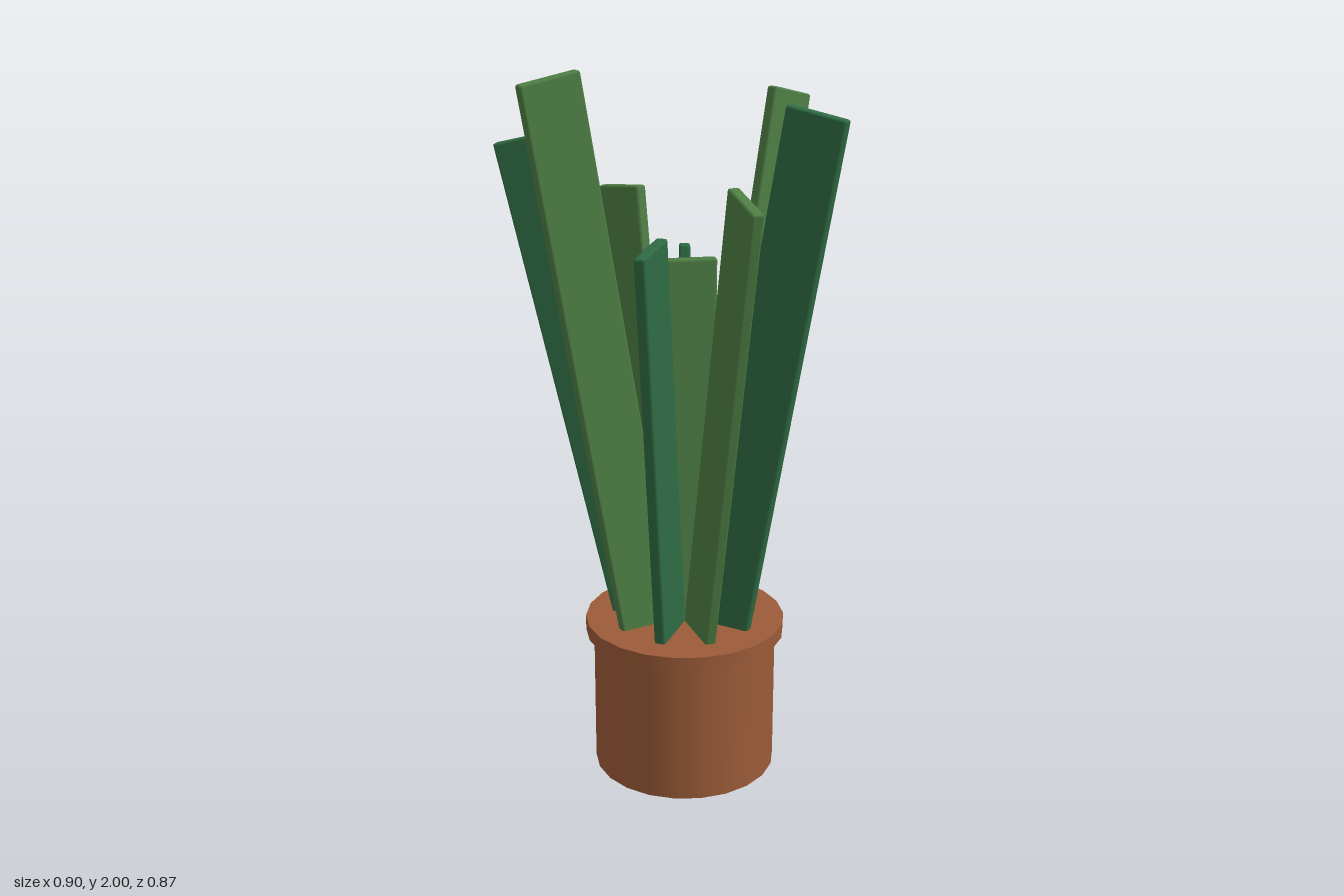
import * as THREE from 'three';
import { RoundedBoxGeometry } from 'three/addons/geometries/RoundedBoxGeometry.js';

const clay = new THREE.MeshStandardMaterial({ name: 'terracotta', color: 0x9c5b38 });
const lightGreen = new THREE.MeshStandardMaterial({ name: 'lightGreen', color: 0x4f7f45 });
const darkGreen = new THREE.MeshStandardMaterial({ name: 'darkGreen', color: 0x2f6b43 });

const SOIL_Y = 0.45;
const SUNK = 0.15; // how far each leaf reaches into the pot

// leaves around the pot: [outward tilt in degrees, length above the pot]
const LEAVES = [
  [13, 1.478], [10, 1.03], [7, 1.209], [13, 1.386],
  [10, 1.559], [7, 1.128], [13, 1.3], [10, 1.472],
];

function cylinder(name, radius, bottom, top) {
  const geo = new THREE.CylinderGeometry(radius, radius, top - bottom, 22);
  const mesh = new THREE.Mesh(geo, clay);
  mesh.name = name;
  mesh.position.y = (top + bottom) / 2;
  return mesh;
}

function leaf(name, length, material) {
  const geo = new RoundedBoxGeometry(0.17, length + SUNK, 0.032, 1, 0.007);
  geo.translate(0, (length - SUNK) / 2, 0);
  const mesh = new THREE.Mesh(geo, material);
  mesh.name = name;
  mesh.position.y = SOIL_Y;
  return mesh;
}

export function createModel() {
  const model = new THREE.Group();
  model.name = 'pottedPlant';
  model.position.set(0, 0, 0);

  const plant = new THREE.Group();
  plant.name = 'plant';
  plant.position.set(0.034, 0, -0.057);
  model.add(plant);

  // pot body and rim
  plant.add(cylinder('pot', 0.26, 0, 0.42));
  plant.add(cylinder('potRim', 0.283, 0.408, SOIL_Y));

  // upright middle leaf
  plant.add(leaf('middleLeaf', 1.04, lightGreen));

  // ring of leaves leaning outwards
  LEAVES.forEach(([tilt, length], i) => {
    const arm = new THREE.Group();
    arm.name = `leafArm${i + 1}`;
    arm.rotation.y = THREE.MathUtils.degToRad(40 * (i + 1));
    const blade = leaf(`leaf${i + 1}`, length, i % 2 ? darkGreen : lightGreen);
    blade.position.x = 0.122;
    blade.rotation.z = -THREE.MathUtils.degToRad(tilt);
    arm.add(blade);
    plant.add(arm);
  });

  return model;
}
